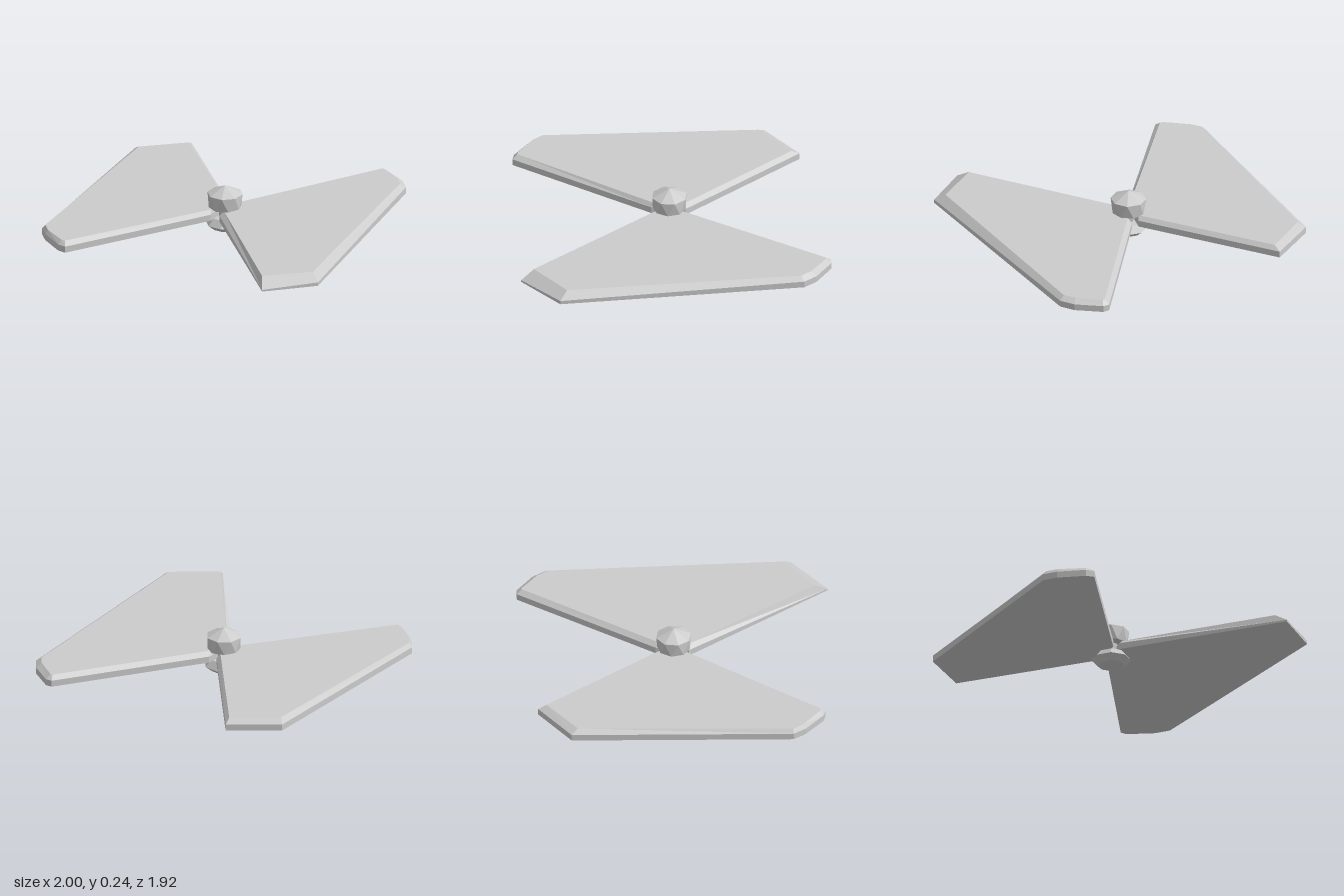
import * as THREE from 'three';

const material = new THREE.MeshStandardMaterial({ color: 0xcccccc, flatShading: true });
const BOTTOM = 0.065, TOP = 0.122;

// Bevelled plate: each corner is [outerX, outerZ, innerX, innerZ, wallHeight], clockwise from above
function blade(name, corners) {
  const n = corners.length, positions = [], index = [];
  for (const [x, z] of corners) positions.push(x, BOTTOM, z);
  for (const [x, z, , , y] of corners) positions.push(x, y, z);
  for (const [, , x, z] of corners) positions.push(x, TOP, z);
  for (let ring = 0; ring < 2; ring++) {
    for (let i = 0; i < n; i++) {
      const j = (i + 1) % n, a = ring * n + i, b = ring * n + j;
      index.push(a, a + n, b + n, a, b + n, b);
    }
  }
  // Flat underside and top face
  for (let i = 1; i < n - 1; i++) {
    index.push(0, i, i + 1);
    index.push(2 * n, 2 * n + i + 1, 2 * n + i);
  }
  const geometry = new THREE.BufferGeometry();
  geometry.setAttribute('position', new THREE.Float32BufferAttribute(positions, 3));
  geometry.setIndex(index);
  geometry.computeVertexNormals();
  const mesh = new THREE.Mesh(geometry, material);
  mesh.name = name;
  return mesh;
}

// Eight-sided hub section turned from a bottom-to-top profile of [radius, height]
function hubSection(name, profile, twistBelow = -1) {
  const points = profile.map(([r, y]) => new THREE.Vector2(r, y));
  const geometry = new THREE.LatheGeometry(points, 8);
  const position = geometry.attributes.position, v = new THREE.Vector3();
  const up = new THREE.Vector3(0, 1, 0);
  // Half-step twist of the lower rings gives the sides triangular facets
  for (let i = 0; i < position.count; i++) {
    v.fromBufferAttribute(position, i);
    if (v.y < twistBelow) v.applyAxisAngle(up, -Math.PI / 8);
    position.setXYZ(i, v.x, v.y, v.z);
  }
  geometry.rotateY(Math.PI / 8);
  geometry.computeVertexNormals();
  const mesh = new THREE.Mesh(geometry, material);
  mesh.name = name;
  return mesh;
}

export function createModel() {
  const model = new THREE.Group();
  model.name = 'propeller';

  // Blades
  model.add(blade('leftBlade', [
    [0.08, -0.12, 0.07, -0.09, 0.1],
    [0.92, -0.405, 0.915, -0.375, 0.1],
    [0.95, -0.385, 0.925, -0.37, 0.1],
    [1.0, -0.24, 0.97, -0.23, 0.1],
    [1.0, -0.155, 0.97, -0.16, 0.1],
    [0.295, 0.945, 0.28, 0.885, 0.085],
    [-0.01, 0.96, 0.005, 0.885, 0.075],
    [-0.045, 0.01, -0.02, 0.01, 0.1],
  ]));
  model.add(blade('rightBlade', [
    [-0.09, -0.01, -0.08, -0.03, 0.1],
    [-0.93, 0.245, -0.925, 0.215, 0.1],
    [-0.96, 0.21, -0.94, 0.2, 0.1],
    [-1.0, 0.06, -0.985, 0.055, 0.1],
    [-1.0, -0.02, -0.985, -0.01, 0.1],
    [-0.295, -0.965, -0.29, -0.92, 0.1],
    [0.005, -0.96, -0.015, -0.92, 0.1],
    [0.04, -0.14, 0.02, -0.13, 0.1],
  ]));

  // Hub
  const hub = new THREE.Group();
  hub.name = 'hub';
  hub.position.z = -0.06;
  hub.add(hubSection('hubBase', [[0, 0], [0.07, 0], [0.105, 0.03], [0.075, 0.067], [0, 0.072]]));
  hub.add(hubSection('hubNeck', [[0.035, 0.06], [0.035, 0.13]]));
  hub.add(hubSection('hubCap', [[0, 0.118], [0.088, 0.12], [0.095, 0.197], [0, 0.242]], 0.15));
  model.add(hub);

  return model;
}
